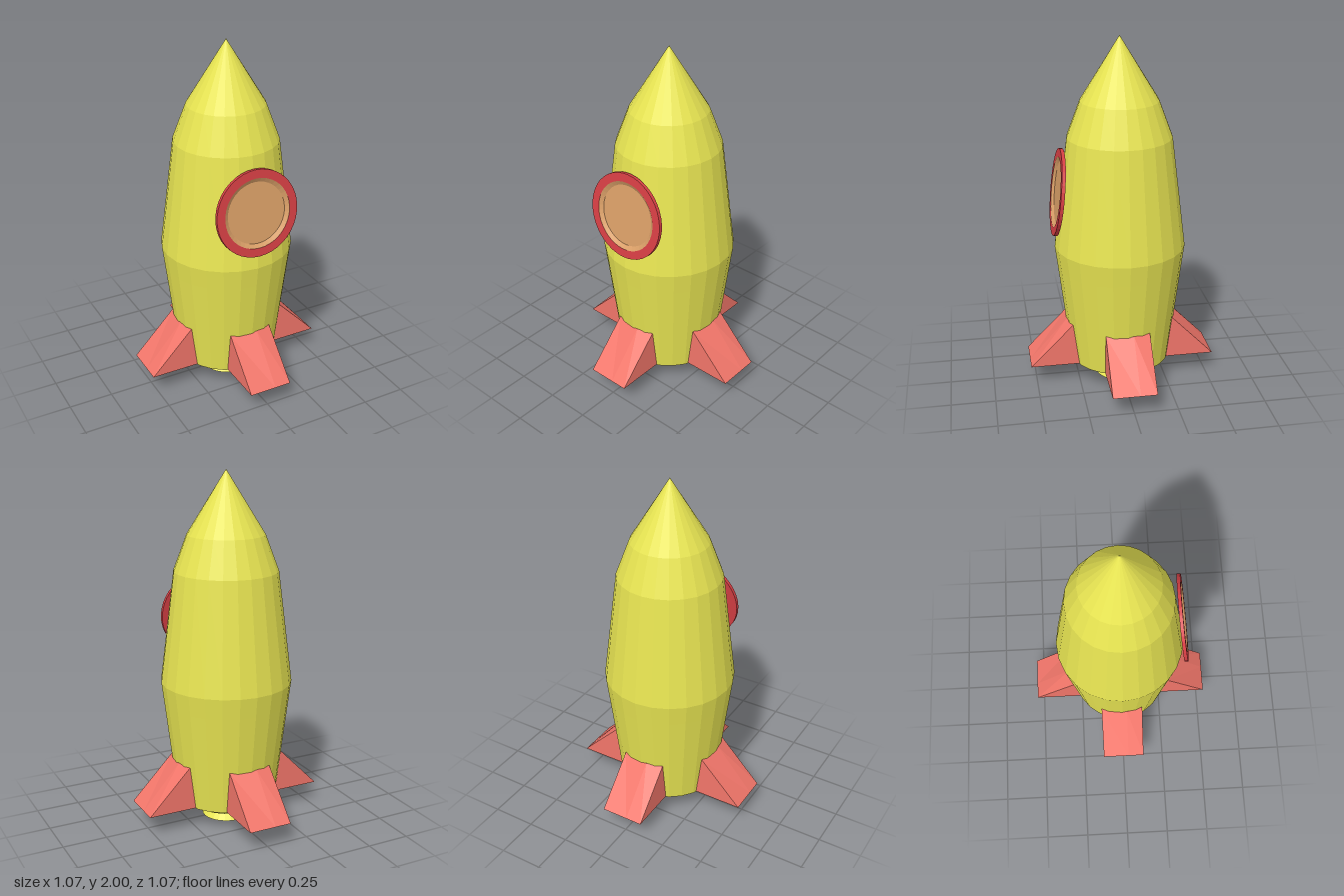
import * as THREE from 'three';

const paint = (color) => new THREE.MeshStandardMaterial({ color, flatShading: true });

// Faceted solid of revolution; points run from bottom to top
function turned(name, points, segments, material) {
  const profile = points.map(([r, y]) => new THREE.Vector2(r, y));
  const mesh = new THREE.Mesh(new THREE.LatheGeometry(profile, segments), material);
  mesh.name = name;
  return mesh;
}

// Wedge fin pointing along +z: its sloping top hugs the round hull at the upper edge
function finGeometry() {
  const columns = [-0.125, 0.03, 0.125];
  const hullRadius = 0.316, top = 0.375, base = 0.125, tip = 0.535, root = 0.2;
  const positions = [];
  const index = [];
  for (const x of columns) {
    const z = Math.sqrt(hullRadius ** 2 - x ** 2);
    positions.push(x, base, root, x, base, tip, x, top, z, x, top, root);
  }
  for (let c = 0; c < columns.length - 1; c++) {
    for (let k = 0; k < 4; k++) {
      const a = c * 4 + k, b = c * 4 + (k + 1) % 4;
      index.push(a, a + 4, b, b, a + 4, b + 4);
    }
  }
  index.push(0, 1, 2, 0, 2, 3); // left and right cheeks
  const e = (columns.length - 1) * 4;
  index.push(e, e + 2, e + 1, e, e + 3, e + 2);
  const geometry = new THREE.BufferGeometry();
  geometry.setAttribute('position', new THREE.Float32BufferAttribute(positions, 3));
  geometry.setIndex(index);
  geometry.computeVertexNormals();
  return geometry;
}

export function createModel() {
  const rocket = new THREE.Group();
  rocket.name = 'rocket';
  const yellow = paint(0xe8e552);
  const coral = paint(0xf2766a);
  const red = paint(0xd63f44);
  const peach = paint(0xdba068);
  coral.side = THREE.DoubleSide;

  // Hull with pointed nose and stepped underside
  rocket.add(turned('hull', [
    [0, 0.075], [0.2, 0.075], [0.247, 0.122], [0.286, 0.122], [0.356, 0.7],
    [0.371, 0.82], [0.292, 1.45], [0.217, 1.65], [0, 2],
  ], 24, yellow));

  // Exhaust nozzle
  rocket.add(turned('nozzle', [
    [0, 0], [0.14, 0], [0.105, 0.04], [0.08, 0.08],
  ], 24, yellow));

  // Four fins
  const fin = finGeometry();
  for (let i = 0; i < 4; i++) {
    const mesh = new THREE.Mesh(fin, coral);
    mesh.name = 'fin' + (i + 1);
    mesh.rotation.y = i * Math.PI / 2;
    rocket.add(mesh);
  }

  // Porthole leaning back with the hull
  const porthole = new THREE.Group();
  porthole.name = 'porthole';
  porthole.add(turned('portholeFrame', [
    [0, 0], [0.243, 0], [0.243, 0.02], [0.195, 0.02],
  ], 40, red));
  porthole.add(turned('portholeGlass', [
    [0.195, 0.02], [0.172, 0.005], [0, 0.005],
  ], 40, peach));
  porthole.position.set(0, 1.142, 0.338);
  porthole.rotation.x = Math.PI / 2 - 0.125;
  rocket.add(porthole);

  return rocket;
}
